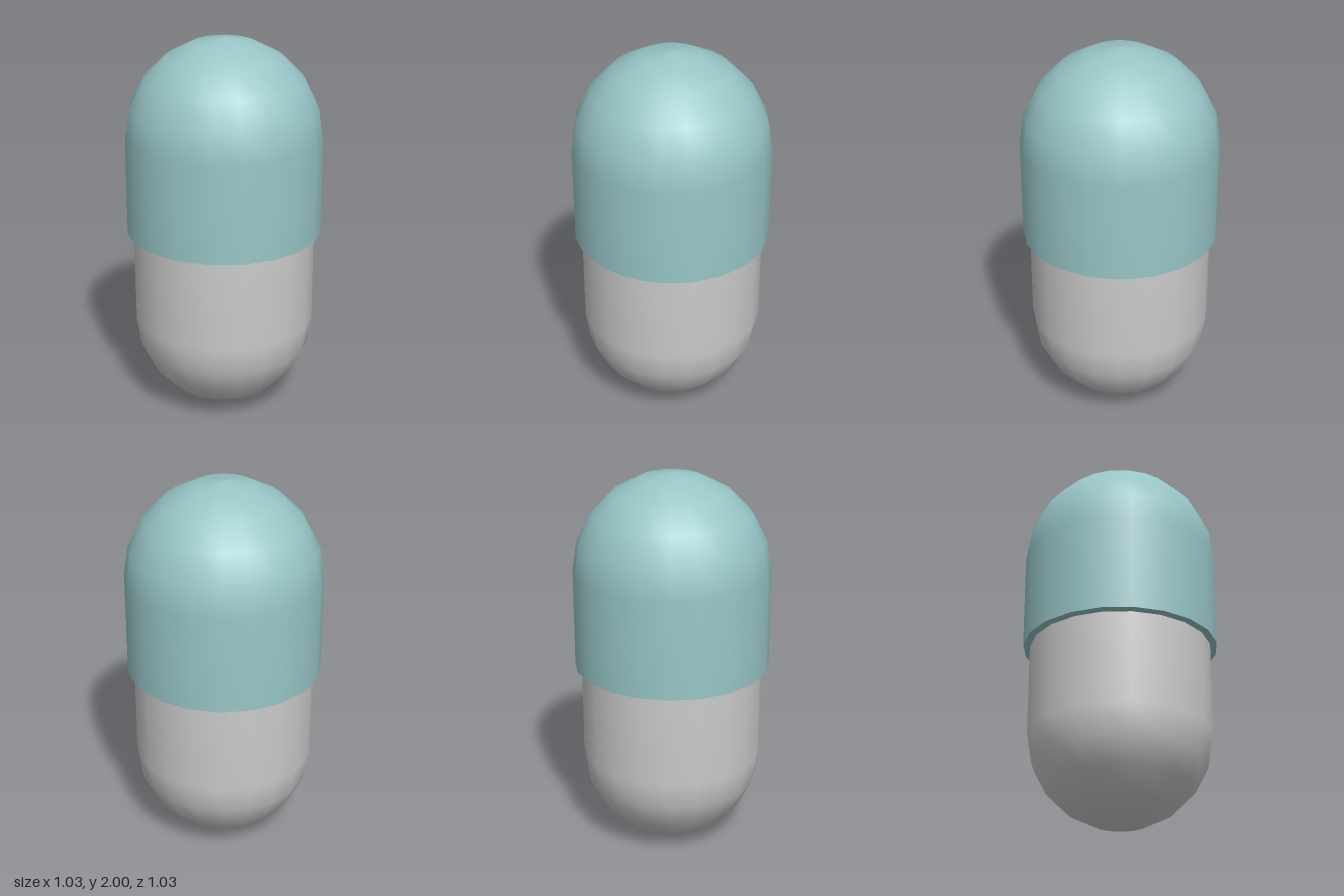
import * as THREE from 'three';

const SIDES = 20, RINGS = 5;

// Profile of a quarter circle, from the pole to the equator; dir is -1 for a bottom dome, 1 for a top dome
function domeProfile(radius, centreY, height, dir) {
  const points = [];
  for (let i = 0; i <= RINGS; i++) {
    const a = (i / RINGS) * Math.PI / 2;
    points.push(new THREE.Vector2(radius * Math.sin(a), centreY + dir * height * Math.cos(a)));
  }
  return points;
}

function turned(name, points, material) {
  const mesh = new THREE.Mesh(new THREE.LatheGeometry(points, SIDES), material);
  mesh.name = name;
  return mesh;
}

export function createModel() {
  const grey = new THREE.MeshStandardMaterial({ color: 0xcccccc });
  const teal = new THREE.MeshStandardMaterial({ color: 0x98c5c7 });
  const bodyR = 0.478, capR = 0.513, rimY = 0.973, lipY = 0.966;

  // Lower half: round bottom and straight wall
  const body = turned('lowerShell',
    [...domeProfile(bodyR, 0.48, 0.48, -1), new THREE.Vector2(bodyR, rimY)], grey);

  // Upper half: slightly wider, overlapping the lower half
  const cap = new THREE.Group();
  cap.name = 'cap';
  cap.add(
    turned('capShell',
      [new THREE.Vector2(capR, rimY), ...domeProfile(capR, 1.483, 0.517, 1).reverse()], teal),
    // Lip closing the step between the two halves
    turned('capLip', [new THREE.Vector2(bodyR, lipY), new THREE.Vector2(capR, rimY)], teal)
  );

  const model = new THREE.Group();
  model.name = 'capsule';
  model.add(body, cap);
  return model;
}
